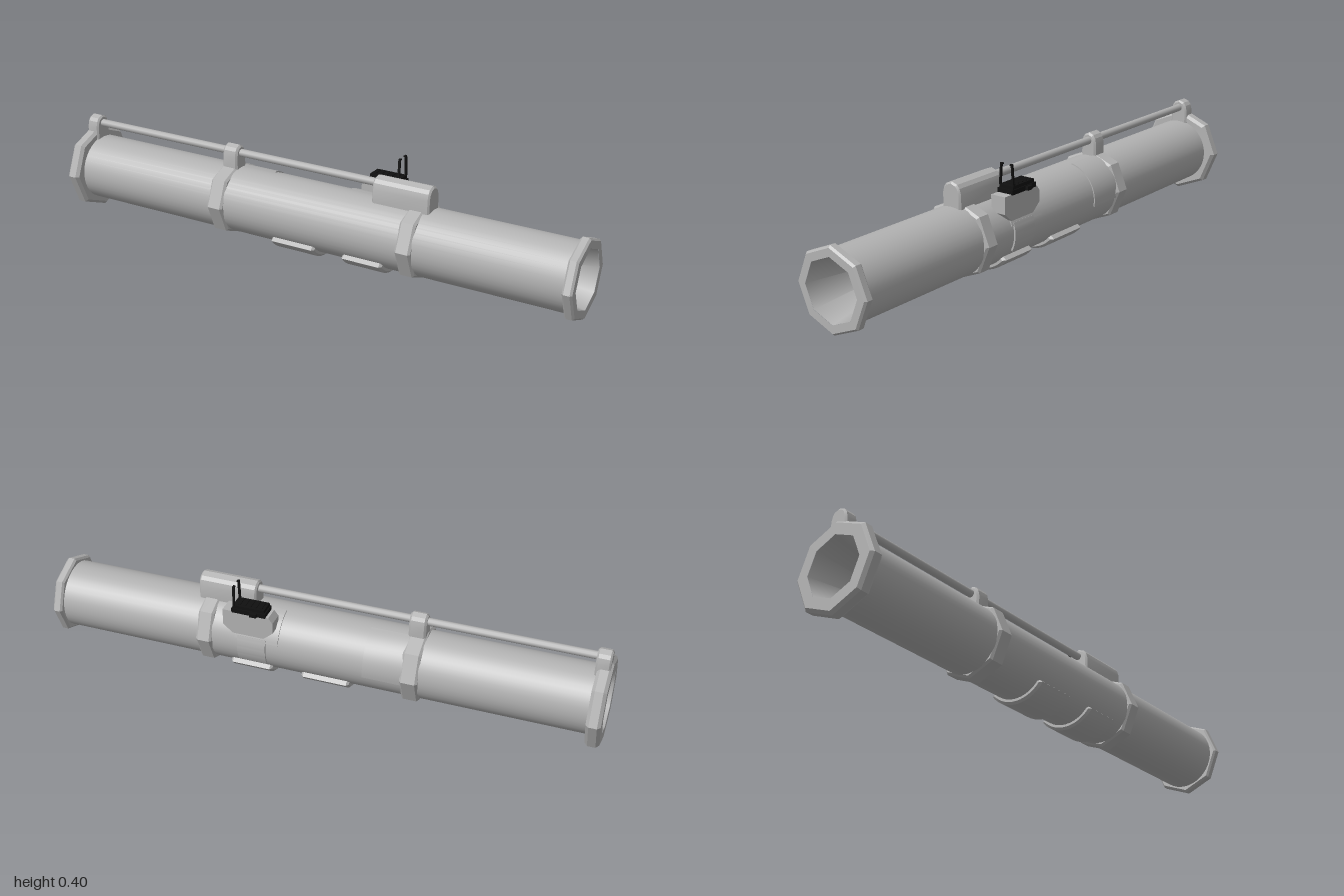
import * as THREE from 'three';
import { toCreasedNormals } from 'three/addons/utils/BufferGeometryUtils.js';

const CY = 0.162; // height of the tube axis

export function createModel() {
  const group = new THREE.Group();
  const grey = new THREE.MeshStandardMaterial({ color: 0xb2b2b2 });
  const black = new THREE.MeshStandardMaterial({ color: 0x101010 });
  grey.name = 'grey';
  black.name = 'black';

  const add = (name, geometry, material = grey) => {
    const mesh = new THREE.Mesh(geometry, material);
    mesh.name = name;
    group.add(mesh);
    return mesh;
  };
  const box = (name, x0, x1, y0, y1, z0, z1, material) => {
    const mesh = add(name, new THREE.BoxGeometry(x1 - x0, y1 - y0, z1 - z0), material);
    mesh.position.set((x0 + x1) / 2, (y0 + y1) / 2, (z0 + z1) / 2);
    return mesh;
  };

  // Revolve [radius, x] pairs about the tube axis
  const revolve = (name, pairs, sides, crease) => {
    const points = pairs.map(([r, x]) => new THREE.Vector2(r, x));
    const geometry = new THREE.LatheGeometry(points, sides).rotateZ(-Math.PI / 2).translate(0, CY, 0);
    return add(name, toCreasedNormals(geometry, crease));
  };

  // Extrude [backward, up] points along x
  const extrudeX = (name, points, x0, x1, bevel = 0) => {
    const shape = new THREE.Shape(points.map(([u, v]) => new THREE.Vector2(u, v)));
    const geometry = new THREE.ExtrudeGeometry(shape, {
      depth: x1 - x0 - 2 * bevel, bevelEnabled: bevel > 0, bevelSegments: 1,
      bevelSize: bevel, bevelThickness: bevel, bevelOffset: -bevel,
    });
    geometry.translate(0, 0, bevel).rotateY(Math.PI / 2).translate(x0, 0, 0);
    return add(name, toCreasedNormals(geometry, 0.35));
  };

  // Curved strip hugging the tube; angles run from the top towards the back
  const strip = (name, x0, x1, r0, r1, from, to, bevel) => {
    const points = [];
    const steps = 14;
    for (let i = 0; i <= steps; i++) {
      const a = THREE.MathUtils.degToRad(from + (to - from) * i / steps);
      points.push([Math.sin(a), Math.cos(a)]);
    }
    const arc = (list, r) => list.map(([s, c]) => [r * s, CY + r * c]);
    return extrudeX(name, [...arc(points, r1), ...arc(points.slice().reverse(), r0)], x0, x1, bevel);
  };

  // Main tube with tapering bores at both ends
  revolve('tube', [[0.12, -0.98], [0.12, 0.98]], 40, 0.6);
  revolve('frontBore', [[0.108, 0.999], [0, 0.5]], 8, 1.2);
  revolve('rearBore', [[0, -0.5], [0.108, -0.999]], 8, 1.2);

  // Bevelled octagonal collars
  const collar = (name, x0, x1, r, inner, bevel) => revolve(name, [
    [inner, x0], [r - bevel, x0], [r, x0 + bevel], [r, x1 - bevel], [r - bevel, x1], [inner, x1],
  ], 8, 0.2);
  collar('rearCollar', -1, -0.95, 0.16, 0.108, 0.011);
  collar('rearBand', -0.377, -0.313, 0.135, 0.11, 0.008);
  collar('frontBand', 0.377, 0.436, 0.135, 0.11, 0.008);
  collar('frontCollar', 0.965, 1, 0.143, 0.108, 0.007);

  // Rod with its lugs and the rounded housing at its end
  const rod = add('rod', new THREE.CylinderGeometry(0.014, 0.014, 1.25, 12));
  rod.rotation.z = Math.PI / 2;
  rod.position.set(-0.36, 0.337, 0);
  const arch = (w) => [
    [-w, 0.27], [w, 0.27], [w, 0.325], [w * 0.84, 0.346], [w * 0.58, 0.358],
    [0, 0.366], [-w * 0.58, 0.358], [-w * 0.84, 0.346], [-w, 0.325],
  ];
  extrudeX('rearLug', arch(0.034), -0.993, -0.943, 0.006);
  extrudeX('middleLug', arch(0.031), -0.373, -0.312, 0.007);
  extrudeX('housing', arch(0.038), 0.24, 0.455, 0.006);

  // Thin plates on the upper back of the tube and grips underneath
  strip('rearPlate', -0.32, -0.18, 0.115, 0.124, 10, 100, 0);
  strip('sightPlate', 0.13, 0.29, 0.115, 0.124, 10, 75, 0);
  strip('sightStrap', 0.175, 0.28, 0.115, 0.126, 70, 118, 0);
  strip('rearGrip', -0.125, 0.05, 0.112, 0.137, 128, 232, 0.008);
  strip('frontGrip', 0.16, 0.315, 0.112, 0.137, 128, 232, 0.008);

  // Sight bracket with tapered foot
  const foot = new THREE.Shape([
    [0.16, 0.305], [0.145, 0.285], [0.145, 0.245], [0.18, 0.215],
    [0.295, 0.215], [0.33, 0.245], [0.33, 0.305],
  ].map(([x, y]) => new THREE.Vector2(x, y)));
  const bracket = add('sightBracket', new THREE.ExtrudeGeometry(foot, { depth: 0.057, bevelEnabled: false }));
  bracket.position.z = -0.122;

  // Folding sight: base, stepped top, ribs and side knobs
  box('sightBase', 0.17, 0.295, 0.303, 0.32, -0.126, -0.064, black);
  box('sightTop', 0.175, 0.29, 0.32, 0.332, -0.123, -0.068, black);
  for (let i = 0; i < 5; i++) {
    const x = 0.185 + i * 0.02;
    box('sightRib', x, x + 0.008, 0.332, 0.335, -0.116, -0.075, black);
  }
  box('sightKnob', 0.2, 0.225, 0.304, 0.318, -0.136, -0.055, black);

  // Pair of sight posts leaning inward with hooked tips
  for (const side of [-1, 1]) {
    const post = box('sightPost', 0.282, 0.29, 0.33, 0.405, -0.003, 0.003, black);
    post.position.z = -0.0955 + side * 0.0245;
    post.rotation.x = -side * 0.07;
    const tip = -0.0955 + side * 0.0195;
    box('sightPostTip', 0.282, 0.29, 0.4, 0.405, tip - 0.005, tip + 0.005, black);
  }

  return group;
}
